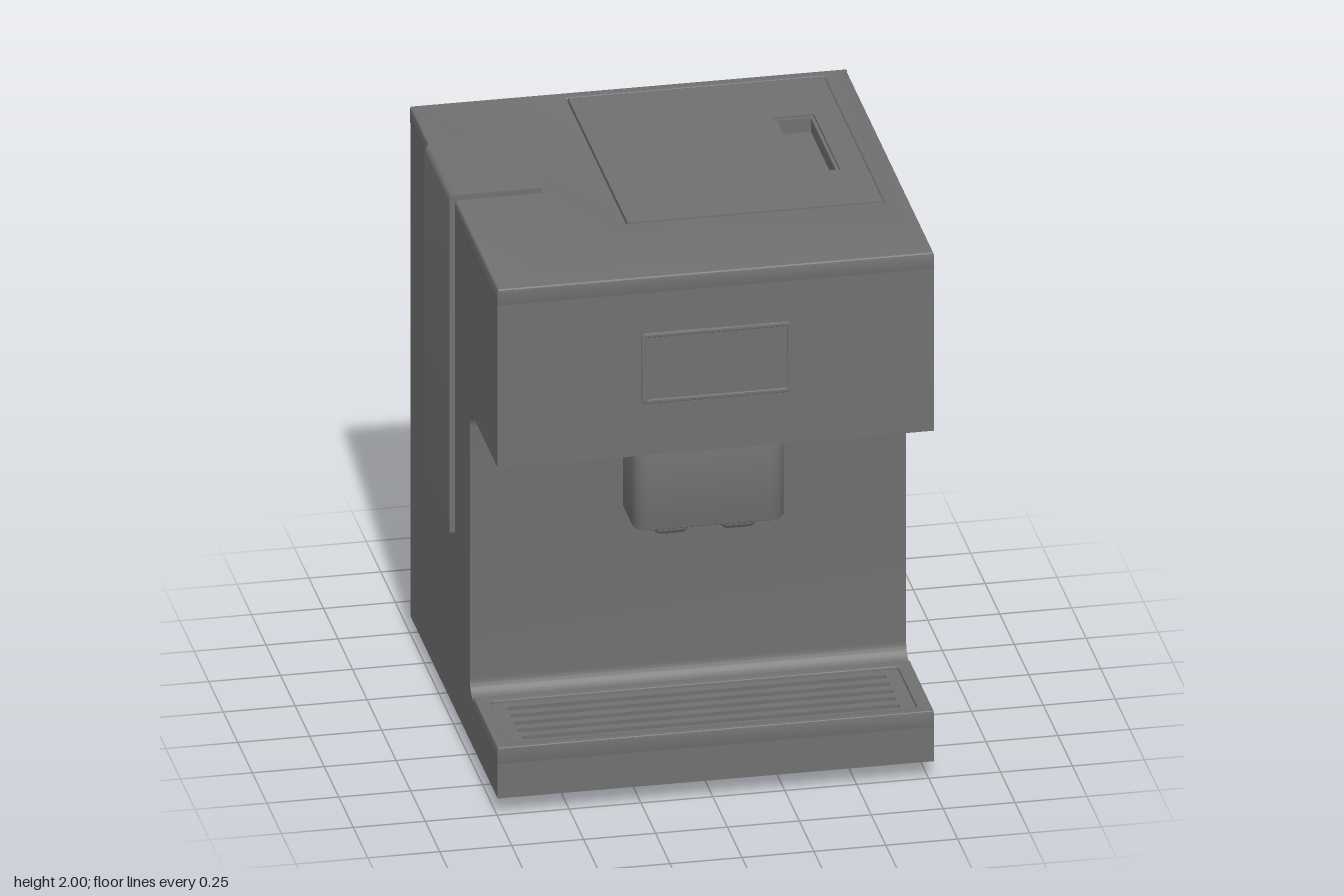
import * as THREE from 'three';
import { toCreasedNormals } from 'three/addons/utils/BufferGeometryUtils.js';
import { RoundedBoxGeometry } from 'three/addons/geometries/RoundedBoxGeometry.js';

const material = new THREE.MeshStandardMaterial({ color: 0x707070 });

// Rectangle with optional rounded corners, drawn on a Shape or a Path
function rect(u0, u1, v0, v1, r = 0, Type = THREE.Shape) {
  const s = new Type();
  if (r === 0) {
    s.moveTo(u0, v0).lineTo(u1, v0).lineTo(u1, v1).lineTo(u0, v1).closePath();
    return s;
  }
  s.absarc(u1 - r, v0 + r, r, -Math.PI / 2, 0);
  s.absarc(u1 - r, v1 - r, r, 0, Math.PI / 2);
  s.absarc(u0 + r, v1 - r, r, Math.PI / 2, Math.PI);
  s.absarc(u0 + r, v0 + r, r, Math.PI, Math.PI * 1.5);
  s.closePath();
  return s;
}
const hole = (u0, u1, v0, v1, r) => rect(u0, u1, v0, v1, r, THREE.Path);

// Extrusion of exactly w0..w1 in depth, the bevel staying inside the outline
function slab(shape, w0, w1, bevel = 0) {
  const g = new THREE.ExtrudeGeometry(shape, {
    depth: w1 - w0 - 2 * bevel, bevelEnabled: bevel > 0, bevelThickness: bevel,
    bevelSize: bevel, bevelOffset: -bevel, bevelSegments: 3, curveSegments: 16,
  });
  return g.translate(0, 0, w0 + bevel);
}
const alongZ = slab; // shape is (x, y)
const alongY = (shape, y0, y1, bevel) => slab(shape, -y1, -y0, bevel).rotateX(Math.PI / 2); // shape is (x, z)
const alongX = (shape, x0, x1, bevel) => slab(shape, -x1, -x0, bevel).rotateY(-Math.PI / 2); // shape is (z, y)

export function createModel() {
  const model = new THREE.Group();
  const add = (name, geometry, parent = model) => {
    const mesh = new THREE.Mesh(toCreasedNormals(geometry, 0.4), material);
    mesh.name = name;
    parent.add(mesh);
  };
  const group = (name) => {
    const g = new THREE.Group();
    g.name = name;
    model.add(g);
    return g;
  };
  const X0 = -0.75, X1 = 0.767, FRONT = 0.76, BACK = -0.76, BASE = 0.067;

  // Housing: C-shaped side profile with filleted cup bay
  const c = new THREE.Shape();
  c.moveTo(-0.735, BASE).lineTo(FRONT, BASE).lineTo(FRONT, 0.2).lineTo(0.345, 0.2).lineTo(0.345, 0.24);
  c.absarc(0.34, 0.3, 0.06, -Math.PI / 2, -Math.PI, true);
  c.absarc(0.35, 1.24, 0.07, Math.PI, Math.PI / 2, true);
  c.lineTo(FRONT, 1.31).lineTo(FRONT, 1.92).lineTo(-0.735, 1.92).closePath();
  add('housing', alongX(c, X0, X1));

  // Top cover with an opening for the lid
  const top = rect(X0, X1, -0.75, FRONT);
  top.holes.push(hole(-0.212, 0.682, -0.71, 0.321));
  add('topCover', alongY(top, 1.91, 1.98, 0.01));

  // Lid with a finger pocket and its sunken rim
  const lid = rect(-0.209, 0.679, -0.707, 0.318);
  lid.holes.push(hole(0.445, 0.586, -0.415, 0.04));
  add('lid', alongY(lid, 1.915, 1.98));
  const pocketRim = rect(0.444, 0.587, -0.416, 0.041);
  pocketRim.holes.push(hole(0.457, 0.574, -0.404, 0.028));
  add('pocketRim', alongY(pocketRim, 1.915, 1.972));

  // Back panel with the power inlet recess
  const back = rect(X0, X1, BASE, 1.98);
  back.holes.push(hole(-0.555, -0.38, 0.3, 0.66));
  add('backPanel', alongZ(back, BACK, -0.717, 0.018));

  // Power inlet: framed rocker switch and three pins
  const power = group('powerInlet');
  const frame = rect(-0.52, -0.41, 0.475, 0.635, 0.01);
  frame.holes.push(hole(-0.505, -0.425, 0.492, 0.618));
  add('switchFrame', alongZ(frame, -0.757, -0.73), power);
  add('rockerSwitch', alongZ(rect(-0.498, -0.432, 0.501, 0.578), -0.77, -0.72, 0.005), power);
  for (const [x, y] of [[-0.497, 0.37], [-0.433, 0.37], [-0.465, 0.415]]) {
    const pin = new THREE.CylinderGeometry(0.017, 0.017, 0.025, 16).rotateX(Math.PI / 2);
    add('powerPin', pin.translate(x, y, -0.744), power);
  }

  // Water tank cover: bracket wrapping over the top edge
  const t = new THREE.Shape();
  t.moveTo(-0.74, 0.733).lineTo(-0.74, 1.975).lineTo(-0.446, 1.975).lineTo(-0.446, 2);
  t.absarc(-0.745, 1.975, 0.025, Math.PI / 2, Math.PI);
  t.lineTo(-0.77, 0.733).closePath();
  add('tankCover', alongZ(t, -0.397, 0.026));

  // Display: raised frame and sunken screen
  const display = group('display');
  const bezel = rect(-0.25, 0.27, 1.507, 1.77, 0.015);
  bezel.holes.push(hole(-0.236, 0.256, 1.522, 1.755, 0.008));
  add('displayFrame', alongZ(bezel, 0.75, 0.771, 0.003), display);
  add('screen', alongZ(rect(-0.244, 0.264, 1.514, 1.763), 0.75, 0.764), display);

  // Brew head with two nozzles
  const head = group('brewHead');
  add('headBlock', alongY(rect(-0.252, 0.273, 0.402, 0.662, 0.055), 0.978, 1.32, 0.004), head);
  for (const x of [-0.107, 0.127]) {
    const nozzle = new RoundedBoxGeometry(0.122, 0.1, 0.092, 4, 0.025);
    add('nozzle', nozzle.translate(x, 0.964, 0.53), head);
    const tip = new THREE.CylinderGeometry(0.011, 0.011, 0.04, 20);
    add('nozzleTip', tip.translate(x, 0.915, 0.53), head);
  }

  // Drip tray: rim and slotted grate
  const tray = group('dripTray');
  const rim = rect(X0, X1, 0.34, FRONT);
  rim.holes.push(hole(-0.7, 0.717, 0.385, 0.72, 0.015));
  add('trayRim', alongY(rim, 0.19, 0.257, 0.006), tray);
  const grate = rect(-0.705, 0.722, 0.38, 0.725);
  for (let i = 0; i < 5; i++) {
    const z = 0.432 + i * 0.06;
    grate.holes.push(hole(-0.65, 0.667, z - 0.014, z + 0.014, 0.0135));
  }
  add('grate', alongY(grate, 0.22, 0.245), tray);

  // Foot rails, tapering towards the ground
  for (const x of [-0.562, 0.583]) {
    const foot = new THREE.BoxGeometry(0.23, 0.07, 1.4);
    const p = foot.attributes.position;
    for (let i = 0; i < p.count; i++) {
      if (p.getY(i) < 0) p.setXYZ(i, p.getX(i) * 0.73, p.getY(i), p.getZ(i) * 0.875);
    }
    add('footRail', foot.translate(x, 0.035, -0.028));
  }
  return model;
}
